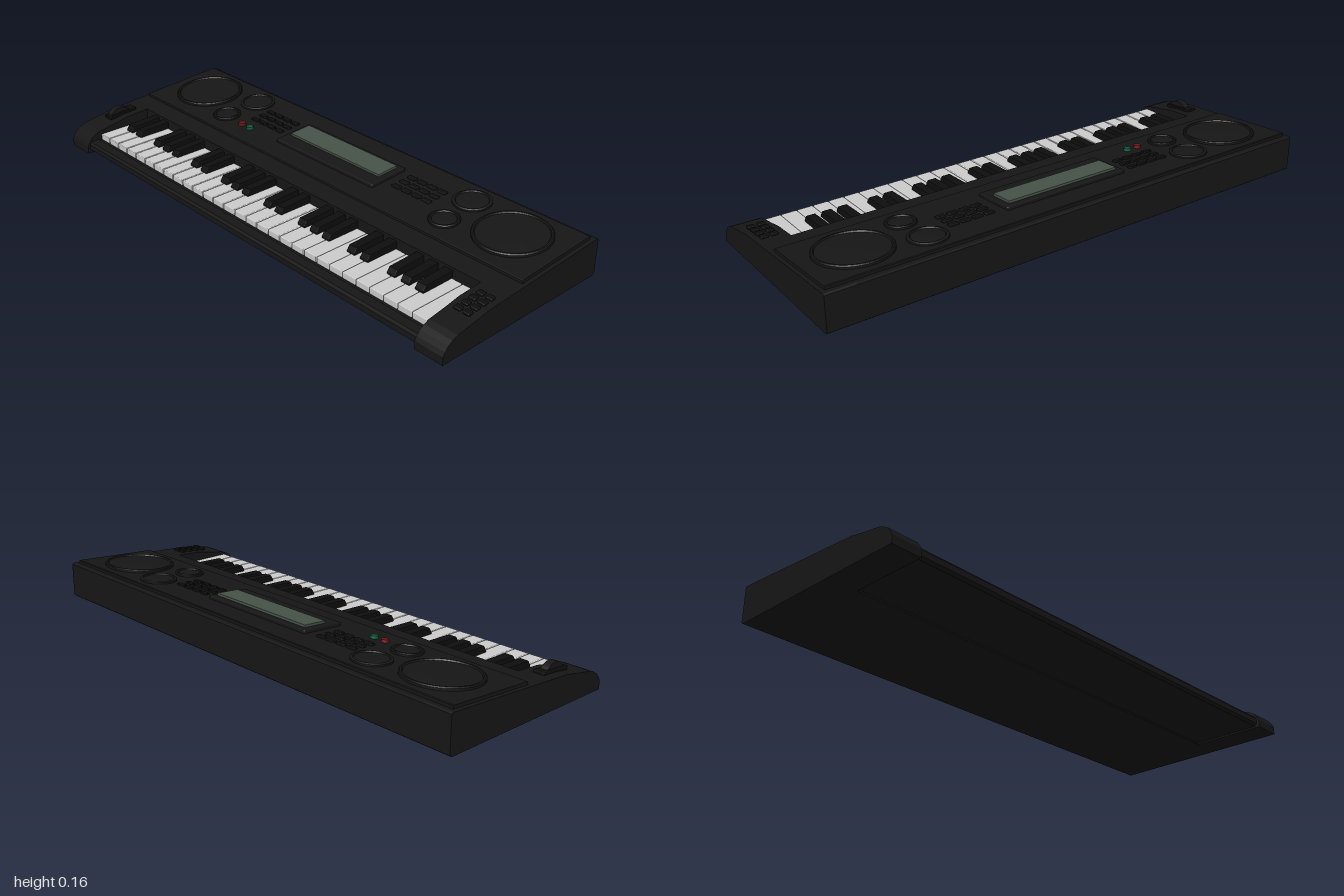
import * as THREE from 'three';
import { RoundedBoxGeometry } from 'three/addons/geometries/RoundedBoxGeometry.js';

const mat = (color, extra = {}) => new THREE.MeshStandardMaterial({ color, ...extra });
const SLOPE = 0.066;
const deckY = z => 0.115 - SLOPE * z; // height of the sloping case top

export function createModel() {
  const root = new THREE.Group();
  const black = mat(0x161616), dark = mat(0x0e0e0e), keyWhite = mat(0xcccccc);
  const glass = mat(0x465248), red = mat(0x6e1414), green = mat(0x0f5a3c);

  const add = (name, geo, material, x = 0, y = 0, z = 0, parent = root) => {
    const m = new THREE.Mesh(geo, material);
    m.name = name;
    m.position.set(x, y, z);
    parent.add(m);
    return m;
  };
  // side profile of [z, y] points, swept from x0 to x1
  const sweep = (name, pts, x0, x1, material = black) => {
    const shape = new THREE.Shape(pts.map(p => new THREE.Vector2(...p)));
    const geo = new THREE.ExtrudeGeometry(shape, { depth: x1 - x0, bevelEnabled: false });
    geo.rotateY(-Math.PI / 2).translate(x1, 0, 0);
    return add(name, geo, material);
  };
  // part resting on the sloping deck, lifted by h along y
  const onDeck = (name, geo, material, x, z, h) => {
    const m = add(name, geo, material, x, deckY(z) + h, z);
    m.rotation.x = Math.atan(SLOPE);
    return m;
  };

  // case: rear body, key bed with front rail, end cheeks
  const back = [[-0.363, deckY(-0.363)], [-0.37, 0.135], [-0.37, 0.006], [-0.362, 0]];
  sweep('rearBody', [[0.08, 0], [0.08, deckY(0.08)], ...back], -0.888, 0.888);
  sweep('keyBedAndFrontRail', [[0.35, 0.006], [0.36, 0.015], [0.36, 0.036], [0.353, 0.045],
    [0.318, 0.047], [0.316, 0.04], [0.08, 0.04], [0.08, 0.006]], -0.888, 0.888);
  const cheek = [[0.37, 0], [0.37, 0.03], [0.362, 0.044], [0.35, 0.06], [0.332, 0.071],
    [0.31, 0.08], [0.23, 0.093], [0.18, deckY(0.18)], ...back];
  sweep('rightCheek', cheek, -1, -0.888);
  sweep('leftCheek', cheek, 0.888, 1);

  // raised control panel
  sweep('controlPanel', [[0, 0.11], [0, 0.125], [-0.003, 0.127], [-0.342, 0.15],
    [-0.345, 0.148], [-0.345, 0.13]], -0.985, 0.985);

  // white keys, four octaves and a final C
  const COUNT = 29, W = 1.76 / COUNT;
  const whiteGeo = new RoundedBoxGeometry(W - 0.003, 0.025, 0.23, 2, 0.003);
  const blackGeo = new THREE.ExtrudeGeometry(
    new THREE.Shape([[0.08, 0.06], [0.212, 0.06], [0.212, 0.078], [0.202, 0.094], [0.08, 0.098]]
      .map(p => new THREE.Vector2(...p))),
    { depth: 0.03, bevelThickness: 0.003, bevelSize: 0.002, bevelSegments: 2 });
  blackGeo.rotateY(-Math.PI / 2).translate(0.015, 0, 0);
  for (let i = 0; i < COUNT; i++) {
    const x = -0.88 + (i + 0.5) * W;
    add('whiteKey', whiteGeo, keyWhite, x, 0.0595, 0.196);
    if (i < COUNT - 1 && [0, 1, 3, 4, 5].includes(i % 7)) add('blackKey', blackGeo, dark, x + W / 2);
  }

  // round speaker or pad with a rim and a slightly sunken, domed middle
  const disc = (r, h) => new THREE.LatheGeometry([[r, -0.006], [r, h * 0.7], [r - 0.004, h],
    [r - 0.010, h], [r - 0.013, h * 0.6], [r * 0.5, h * 0.85], [0, h * 0.95]]
    .map(p => new THREE.Vector2(...p)), 48);
  const faceted = g => {
    const flat = g.toNonIndexed();
    flat.computeVertexNormals();
    return flat;
  };
  const speaker = faceted(disc(0.135, 0.012));
  const upperPad = faceted(disc(0.07, 0.009));
  const lowerPad = faceted(disc(0.055, 0.01));
  const button = new RoundedBoxGeometry(0.036, 0.012, 0.02, 2, 0.003);
  for (const s of [-1, 1]) {
    onDeck('speaker', speaker, black, s * 0.8, -0.18, 0.012);
    onDeck('upperPad', upperPad, black, s * 0.57, -0.25, 0.012);
    onDeck('lowerPad', lowerPad, black, s * 0.58, -0.097, 0.012);
    // button rows beside the display
    for (let c = 0; c < 4; c++)
      for (const z of [-0.225, -0.185, -0.145])
        onDeck('panelButton', button, dark, s * (0.315 + c * 0.047), z, 0.013);
  }

  // display
  onDeck('displayFrame', new RoundedBoxGeometry(0.514, 0.02, 0.17, 2, 0.005), black, 0, -0.165, 0.015);
  onDeck('displayScreen', new THREE.BoxGeometry(0.47, 0.012, 0.092), glass, 0, -0.181, 0.028);

  // indicator buttons
  const lamp = new THREE.CylinderGeometry(0.013, 0.015, 0.014, 24);
  onDeck('redButton', lamp, red, -0.467, -0.082, 0.015);
  onDeck('greenButton', lamp, green, -0.418, -0.082, 0.015);

  // pitch wheel on the right cheek
  onDeck('wheelPlate', new RoundedBoxGeometry(0.044, 0.014, 0.125, 2, 0.003), dark, -0.942, 0.173, 0.002);
  const wheel = add('pitchWheel', new THREE.CylinderGeometry(0.053, 0.053, 0.026, 40), black, -0.942, 0.08, 0.18);
  wheel.rotation.z = Math.PI / 2;

  // small buttons on the left cheek
  const small = new RoundedBoxGeometry(0.026, 0.01, 0.022, 2, 0.003);
  for (let r = 0; r < 4; r++)
    for (const x of [0.928, 0.964])
      onDeck('cheekButton', small, dark, x, 0.125 + r * 0.034, 0.003);

  return root;
}
